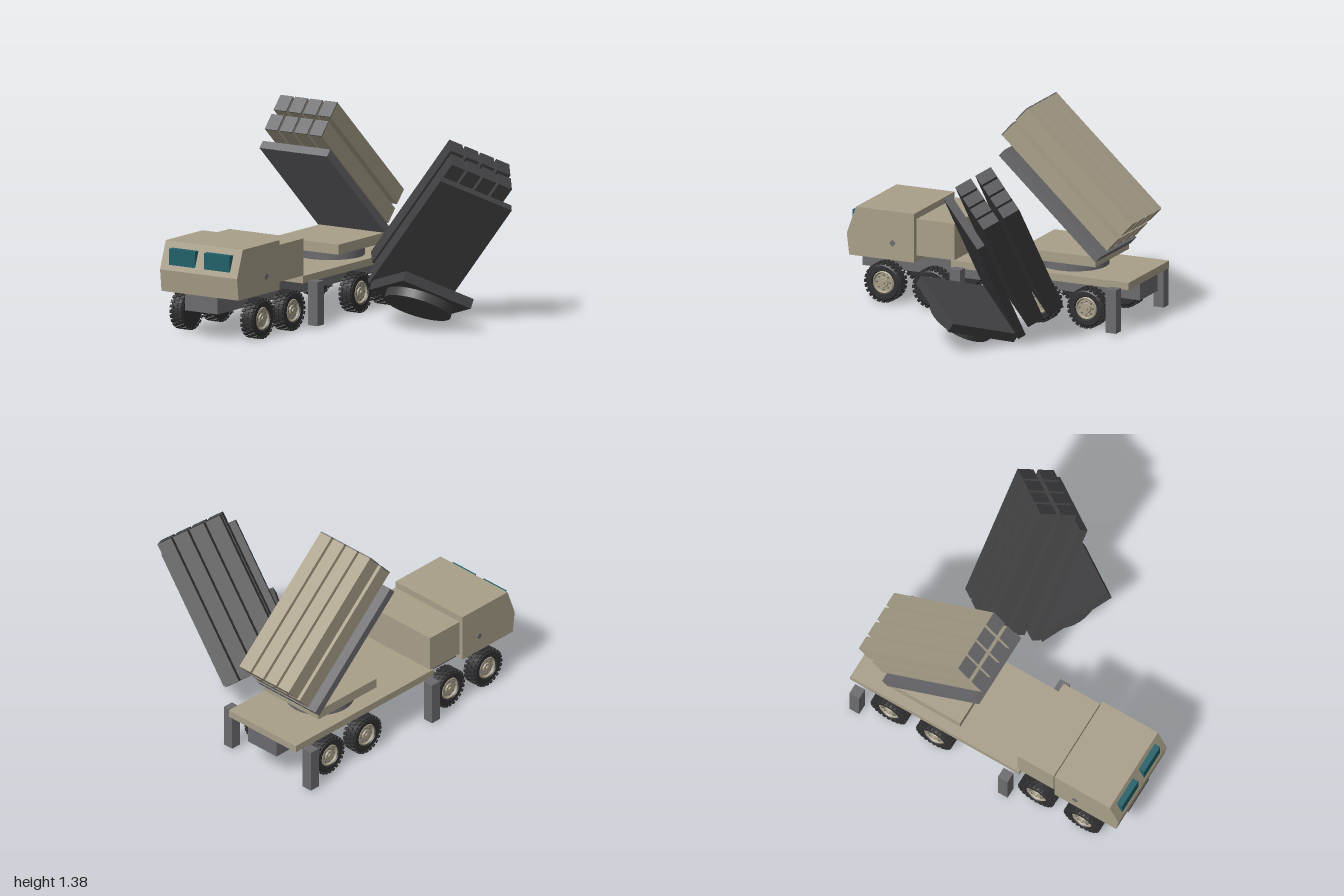
import * as THREE from 'three';
import { toCreasedNormals } from 'three/addons/utils/BufferGeometryUtils.js';

const mat = (name, color) => {
  const m = new THREE.MeshStandardMaterial({ color });
  m.name = name;
  return m;
};

export function createModel() {
  const sand = mat('sand', 0xa89f89);
  const grey = mat('steel grey', 0x6b6b6f);
  const dark = mat('dark launcher grey', 0x424244);
  const rubber = mat('tyre rubber', 0x303032);
  const glass = mat('teal glass', 0x22606a);

  const model = new THREE.Group();
  model.name = 'missileLauncherTruck';

  const add = (parent, name, geo, material, x = 0, y = 0, z = 0) => {
    const mesh = new THREE.Mesh(geo, material);
    mesh.name = name;
    mesh.position.set(x, y, z);
    parent.add(mesh);
    return mesh;
  };
  const box = (parent, name, material, size, pos) =>
    add(parent, name, new THREE.BoxGeometry(...size), material, ...pos);

  // Truck, centred on its own x = 0
  const truck = new THREE.Group();
  truck.name = 'truck';
  truck.position.x = -0.51;
  model.add(truck);

  box(truck, 'chassis', grey, [0.256, 0.11, 1.97], [0, 0.232, -0.015]);
  box(truck, 'deck', sand, [0.6, 0.048, 1.26], [0, 0.311, -0.37]);
  box(truck, 'engineHousing', sand, [0.575, 0.242, 0.27], [0, 0.455, 0.375]);

  // Cab: side profile (z, y) extruded across the width
  const profile = new THREE.Shape([
    [0.523, 0.287], [0.983, 0.287], [1.0, 0.43], [0.935, 0.61], [0.523, 0.61],
  ].map(([z, y]) => new THREE.Vector2(z, y)));
  const cabGeo = new THREE.ExtrudeGeometry(profile, { depth: 0.6, bevelEnabled: false });
  cabGeo.translate(0, 0, -0.3).rotateY(-Math.PI / 2);
  add(truck, 'cab', cabGeo, sand);

  for (const s of [-1, 1]) {
    box(truck, 'windscreen', glass, [0.2, 0.106, 0.05], [s * 0.136, 0.517, 0.965]);
    // Diamond badge-shaped door handle
    const handle = box(truck, 'doorHandle', grey, [0.006, 0.032, 0.032], [s * 0.301, 0.398, 0.675]);
    handle.rotation.x = Math.PI / 4;
    for (const z of [0.19, -0.917]) {
      box(truck, 'stabiliserLeg', grey, [0.073, 0.287, 0.073], [s * 0.352, 0.157, z]);
    }
  }

  // Wheels: lathed tyre and hub with tread blocks and bolts; local +y is the outer face
  const lathe = (pts, n) => toCreasedNormals(
    new THREE.LatheGeometry(pts.map(([r, y]) => new THREE.Vector2(r, y)), n), 0.5);
  const tyreGeo = lathe([[0, -0.045], [0.108, -0.045], [0.124, -0.032], [0.124, 0.032],
    [0.11, 0.046], [0.08, 0.046], [0.072, 0.028]], 32);
  const hubGeo = lathe([[0.077, 0.034], [0.068, 0.042], [0.06, 0.03], [0.034, 0.03],
    [0.03, 0.04], [0.014, 0.04], [0.012, 0.048], [0, 0.048]], 24);
  const blockGeo = new THREE.BoxGeometry(0.014, 0.027, 0.02);
  const boltGeo = new THREE.CylinderGeometry(0.006, 0.006, 0.008, 6);

  const makeWheel = (side, z) => {
    const wheel = new THREE.Group();
    wheel.name = 'wheel';
    wheel.position.set(side * 0.275, 0.134, z);
    wheel.rotation.z = -side * Math.PI / 2;
    add(wheel, 'tyre', tyreGeo, rubber);
    add(wheel, 'hub', hubGeo, sand);
    const n = 24;
    for (let row = -1; row <= 1; row++) {
      for (let i = 0; i < n; i++) {
        const a = (i + (row === 0 ? 0.5 : 0)) / n * Math.PI * 2;
        const block = add(wheel, 'treadBlock', blockGeo, rubber,
          Math.cos(a) * 0.125, row * 0.031, Math.sin(a) * 0.125);
        block.rotation.y = -a;
      }
    }
    for (let i = 0; i < 8; i++) {
      const a = i / 8 * Math.PI * 2;
      add(wheel, 'wheelBolt', boltGeo, grey, Math.cos(a) * 0.047, 0.033, Math.sin(a) * 0.047);
    }
    truck.add(wheel);
  };
  for (const z of [0.735, 0.394, -0.367, -0.705]) {
    makeWheel(-1, z);
    makeWheel(1, z);
  }

  // Launcher: turntable, base plate, tilted rail and a 4 x 2 stack of canisters
  const makeLauncher = (name, body, frame) => {
    const launcher = new THREE.Group();
    launcher.name = name;
    const ring = new THREE.CylinderGeometry(0.222, 0.222, 0.06, 32);
    add(launcher, 'turntable', ring, frame, 0, 0.03, 0);
    box(launcher, 'basePlate', body, [0.5, 0.066, 0.53], [0, 0.093, 0]);

    const cradle = new THREE.Group();
    cradle.name = 'cradle';
    cradle.position.set(0, 0.431, 0.052);
    cradle.rotation.x = -THREE.MathUtils.degToRad(42.4);
    launcher.add(cradle);
    box(cradle, 'rail', frame, [0.526, 0.055, 0.93], [0, 0, 0]);
    for (const y of [0.124, 0.272]) {
      for (let i = 0; i < 4; i++) {
        const x = (i - 1.5) * 0.115;
        box(cradle, 'canister', body, [0.097, 0.115, 1.005], [x, y, 0.043]);
        box(cradle, 'canisterCap', frame, [0.097, 0.115, 0.008], [x, y, 0.5495]);
      }
    }
    return launcher;
  };

  const mounted = makeLauncher('mountedLauncher', sand, grey);
  mounted.position.set(0, 0.335, -0.475);
  truck.add(mounted);

  // Separate dark launcher tipped over beside the truck
  const loose = makeLauncher('looseLauncher', dark, dark);
  loose.position.set(0.42, 0.138, -0.113);
  loose.rotation.set(-Math.PI / 6, THREE.MathUtils.degToRad(56.4), 0);
  model.add(loose);

  return model;
}
